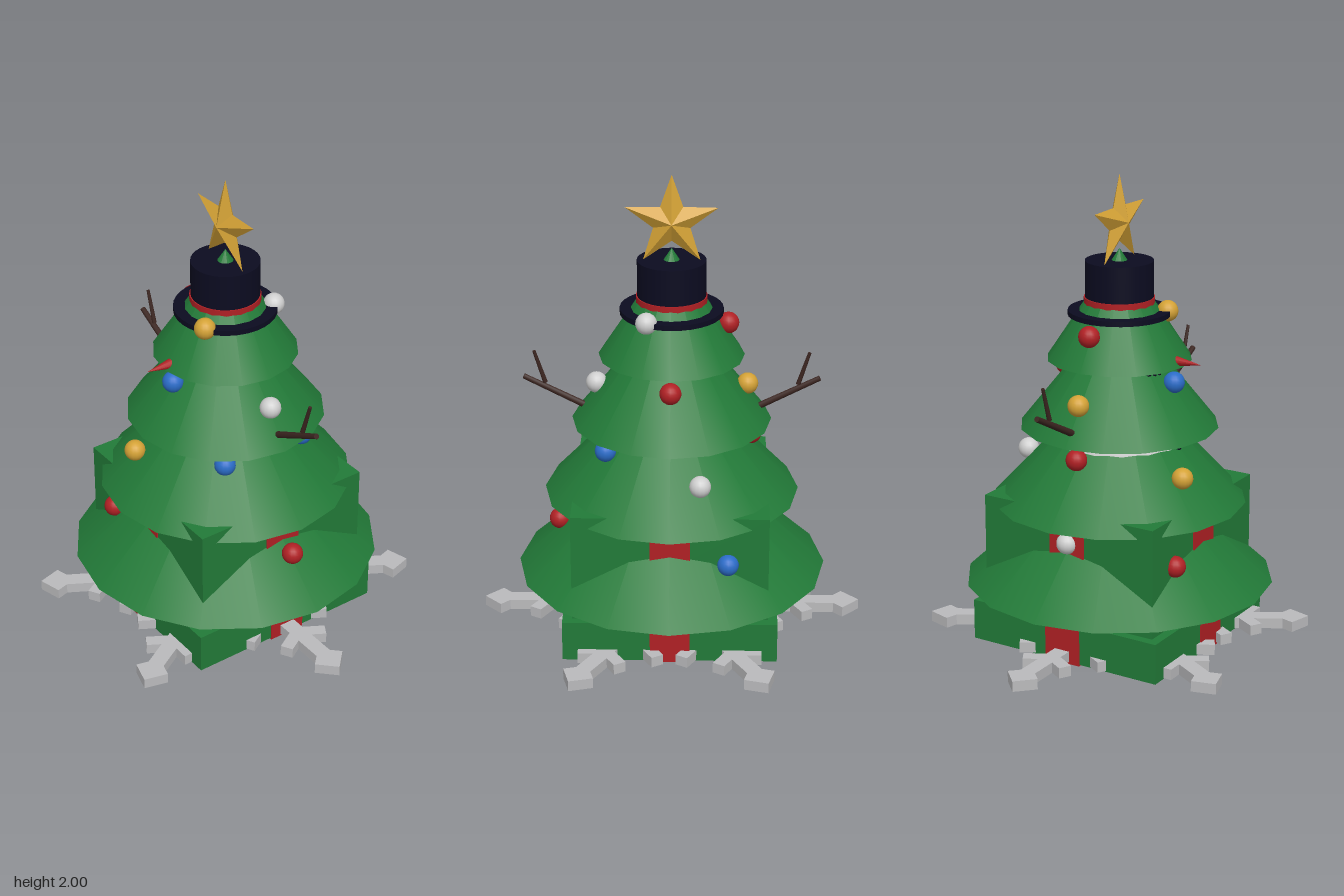
import * as THREE from 'three';

const mat = (name, color) => {
  const m = new THREE.MeshStandardMaterial({ color });
  m.name = name;
  return m;
};

export function createModel() {
  const model = new THREE.Group();
  model.name = 'christmasTree';

  const green = mat('green', 0x227a38);
  const red = mat('red', 0xb02024);
  const gold = mat('gold', 0xd4a236);
  const blue = mat('blue', 0x2b6cc8);
  const silver = mat('silver', 0xcfcfcf);
  const snow = mat('snow', 0xf0f0f0);
  const navy = mat('navy', 0x0b0b20);
  const brown = mat('brown', 0x3b2520);
  const ice = mat('ice', 0xbababc);

  const add = (name, geo, material, x = 0, y = 0, z = 0, parent = model) => {
    const mesh = new THREE.Mesh(geo, material);
    mesh.name = name;
    mesh.position.set(x, y, z);
    parent.add(mesh);
    return mesh;
  };
  // Box spanning y0..y1
  const slab = (name, w, y0, y1, d, material) =>
    add(name, new THREE.BoxGeometry(w, y1 - y0, d), material, 0, (y0 + y1) / 2, 0);
  // Tapered rod between two points
  const rod = (name, a, b, r0, r1, material) => {
    const dir = b.clone().sub(a);
    const mid = a.clone().add(b).multiplyScalar(0.5);
    const mesh = add(name, new THREE.CylinderGeometry(r1, r0, dir.length(), 8), material, mid.x, mid.y, mid.z);
    mesh.quaternion.setFromUnitVectors(new THREE.Vector3(0, 1, 0), dir.normalize());
  };

  // Gift box with crossed ribbons
  slab('giftLid', 0.9, 0.015, 0.19, 0.9, green);
  slab('giftBox', 0.82, 0.19, 0.66, 0.82, green);
  for (const turn of [0, Math.PI / 2]) {
    slab('lidRibbon', 0.166, 0.009, 0.193, 0.91, red).rotation.y = turn;
    slab('boxRibbon', 0.166, 0.19, 0.664, 0.83, red).rotation.y = turn;
  }

  // Snowflake stand: six arms, each with two pairs of twigs and a square tip
  const snowflake = new THREE.Group();
  snowflake.name = 'snowflake';
  model.add(snowflake);
  const H = 0.046, FY = 0.042;
  add('snowflakeHub', new THREE.CylinderGeometry(0.075, 0.075, 0.06, 16), ice, 0, 0.03, 0, snowflake);
  for (let i = 0; i < 6; i++) {
    const arm = new THREE.Group();
    arm.name = 'snowflakeArm';
    arm.rotation.y = i * Math.PI / 3;
    snowflake.add(arm);
    add('armBar', new THREE.BoxGeometry(0.74, H, 0.07), ice, 0.37, FY, 0, arm);
    add('armTip', new THREE.BoxGeometry(0.104, H, 0.104), ice, 0.745, FY, 0, arm).rotation.y = Math.PI / 4;
    for (const [start, len] of [[0.34, 0.24], [0.53, 0.12]]) {
      for (const side of [-1, 1]) {
        const a = side * Math.PI / 3;
        add('armTwig', new THREE.BoxGeometry(len, H, 0.055), ice,
          start + Math.cos(a) * len / 2, FY, -Math.sin(a) * len / 2, arm).rotation.y = a;
      }
    }
  }

  // Tree tiers: radius, base height, tip height
  for (const [r, y0, y1] of [[0.66, 0.255, 0.875], [0.54, 0.61, 1.19], [0.42, 0.935, 1.465], [0.305, 1.225, 1.69]]) {
    add('treeTier', new THREE.ConeGeometry(r, y1 - y0, 16), green, 0, (y0 + y1) / 2, 0);
  }

  // Snowman inside the tree
  add('snowmanBody', new THREE.SphereGeometry(0.287, 32, 20), snow, 0, 0.89, 0);
  add('snowmanHead', new THREE.SphereGeometry(0.212, 32, 20), snow, 0, 1.24, 0);
  add('button', new THREE.SphereGeometry(0.026, 12, 8), navy, 0, 0.878, 0.275);
  for (let i = -3; i <= 3; i++) {
    add('mouthPebble', new THREE.SphereGeometry(0.014, 10, 8), navy,
      i * 0.027, 1.185 + 0.004 * Math.abs(i), Math.sqrt(0.042 - (i * 0.027) ** 2));
  }
  const nose = add('nose', new THREE.ConeGeometry(0.036, 0.19, 12), red, 0, 1.247, 0.295);
  nose.rotation.x = Math.PI / 2;
  const scarf = add('scarf', new THREE.TorusGeometry(0.2, 0.035, 10, 24), red, 0, 1.07, 0);
  scarf.rotation.x = Math.PI / 2;
  const tail = add('scarfTail', new THREE.BoxGeometry(0.04, 0.21, 0.03), red, 0.155, 0.98, 0.235);
  tail.rotation.x = -0.12;

  // Stick arms
  for (const s of [-1, 1]) {
    const v = (x, y) => new THREE.Vector3(s * x, y, 0);
    rod('stickArm', v(0.2, 0.905), v(0.62, 1.118), 0.017, 0.012, brown);
    rod('stickTwig', v(0.53, 1.09), v(0.575, 1.232), 0.01, 0.007, brown);
  }

  // Top hat
  add('hatBrim', new THREE.CylinderGeometry(0.215, 0.215, 0.022, 32), navy, 0, 1.421, 0);
  add('hatBand', new THREE.CylinderGeometry(0.148, 0.148, 0.055, 32), red, 0, 1.459, 0);
  add('hatCrown', new THREE.CylinderGeometry(0.143, 0.143, 0.21, 32), navy, 0, 1.535, 0);

  // Faceted star with raised centres front and back
  const rim = [];
  for (let i = 0; i < 10; i++) {
    const r = i % 2 ? 0.08 : 0.2, a = Math.PI / 2 + i * Math.PI / 5;
    rim.push([Math.cos(a) * r, Math.sin(a) * r, 0]);
  }
  const pts = [];
  rim.forEach((p, i) => {
    const q = rim[(i + 1) % 10];
    pts.push(...p, ...q, 0, 0, 0.045, ...q, ...p, 0, 0, -0.045);
  });
  const star = new THREE.BufferGeometry();
  star.setAttribute('position', new THREE.Float32BufferAttribute(pts, 3));
  star.computeVertexNormals();
  add('star', star, gold, 0, 1.8, 0);

  // Baubles: colour, angle in degrees from +x towards +z, distance, height
  const ball = new THREE.SphereGeometry(0.045, 16, 12);
  const baubles = [
    [gold, 60, 0.2, 1.425], [red, 180, 0.235, 1.365], [silver, 300, 0.2, 1.425],
    [silver, 0, 0.315, 1.093], [blue, 90, 0.265, 1.155], [gold, 180, 0.318, 1.093], [red, 270, 0.265, 1.155],
    [blue, 36, 0.335, 0.865], [gold, 108, 0.4, 0.793], [red, 180, 0.335, 0.865],
    [silver, 252, 0.4, 0.793], [blue, 324, 0.335, 0.865],
    [red, 0, 0.482, 0.453], [red, 120, 0.482, 0.453], [silver, 180, 0.41, 0.525], [blue, 240, 0.482, 0.453],
  ];
  for (const [m, deg, r, y] of baubles) {
    const a = deg * Math.PI / 180;
    add('bauble', ball, m, Math.cos(a) * r, y, Math.sin(a) * r);
  }

  return model;
}
